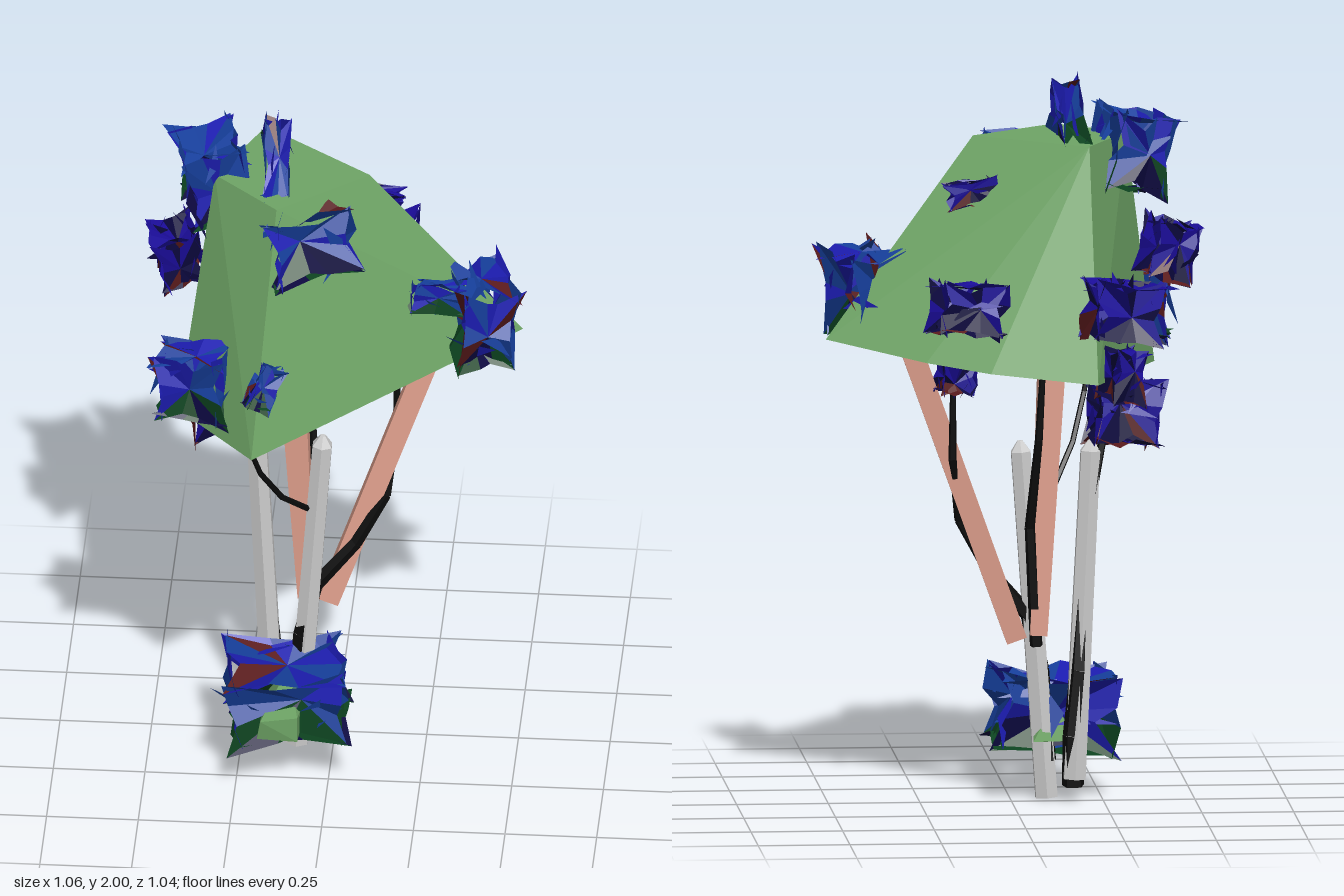
import * as THREE from 'three';
import { ConvexGeometry } from 'three/addons/geometries/ConvexGeometry.js';

const V = (x, y, z) => new THREE.Vector3(x, y, z);
const UP = V(0, 1, 0);

function seeded(seed) {
  let s = seed * 7919 + 17;
  return () => ((s = (s * 16807) % 2147483647) / 2147483647);
}

const paint = (color, side = THREE.FrontSide) =>
  new THREE.MeshStandardMaterial({ color, flatShading: true, side });

const GREEN = paint(0x6fa566);
const PINK = paint(0xdf9f8c);
const GREY = paint(0xcccccc);
const BLACK = paint(0x0c0c0c);
const LEAF = {
  blue: paint(0x163f9c, THREE.DoubleSide),
  indigo: paint(0x1c1cb0, THREE.DoubleSide),
  violet: paint(0x1a0c98, THREE.DoubleSide),
  night: paint(0x0c0840, THREE.DoubleSide),
  forest: paint(0x0d4420, THREE.DoubleSide),
  rust: paint(0x5a1a1c, THREE.DoubleSide),
};

function add(group, name, geometry, material) {
  const mesh = new THREE.Mesh(geometry, material);
  mesh.name = name;
  group.add(mesh);
  return mesh;
}

// Tapered prism between two points
function strut(group, name, a, b, r0, r1, sides, material, turn = 0) {
  const d = b.clone().sub(a);
  const g = new THREE.CylinderGeometry(r1, r0, d.length(), sides);
  g.rotateY(turn);
  const m = add(group, name, g, material);
  m.position.copy(a).add(b).multiplyScalar(0.5);
  m.quaternion.setFromUnitVectors(UP, d.normalize());
}

// Chain of tapered struts
function branch(group, name, points, r0, r1) {
  const sub = new THREE.Group();
  sub.name = name;
  const n = points.length - 1;
  const r = (i) => r0 + ((r1 - r0) * i) / n;
  for (let i = 0; i < n; i++)
    strut(sub, name + 'Segment', V(...points[i]), V(...points[i + 1]), r(i), r(i + 1), 5, BLACK);
  group.add(sub);
}

// Crumpled cluster: a ragged, sunken star on each box side, plus pointed blades
function leafClump(name, center, half, tilt, seed, dark) {
  const rnd = seeded(seed);
  for (let i = 0; i < 5; i++) rnd();
  const j = (a) => (rnd() * 2 - 1) * a;
  const lists = {};
  const put = (key, ...pts) => {
    const list = (lists[key] ??= []);
    for (const p of pts) list.push(p.x * half[0], p.y * half[1], p.z * half[2]);
  };
  const main = () => (dark ? (rnd() < 0.7 ? 'violet' : 'night') : rnd() < 0.65 ? 'blue' : 'indigo');
  for (let f = 0; f < 6; f++) {
    const axis = f >> 1, sign = f & 1 ? 1 : -1;
    const at = (u, v, w) => {
      const c = [0, 0, 0];
      c[axis] = sign * w;
      c[(axis + 1) % 3] = u;
      c[(axis + 2) % 3] = v;
      return V(...c);
    };
    const hub = at(j(0.3), j(0.3), 0.45 + rnd() * 0.4);
    const rim = [];
    for (let k = 0; k < 12; k++) {
      const t = (k / 12) * Math.PI * 2 + Math.PI / 4;
      const reach = k % 3 === 0 ? 1.34 + j(0.12) : 0.78 + j(0.2);
      rim.push(at(Math.cos(t) * reach, Math.sin(t) * reach, 0.82 + j(0.18)));
    }
    for (let k = 0; k < 12; k++) {
      const a = rim[k], b = rim[(k + 1) % 12];
      const low = (a.y + b.y) / 2 < -0.6;
      const shade = dark ? (rnd() < 0.3 ? 'rust' : 'night') : rnd() < 0.65 ? 'forest' : 'night';
      put(low ? shade : !dark && rnd() < 0.05 ? 'rust' : main(), hub, a, b);
    }
  }
  // Pointed blades lying across the outside
  for (let i = 0; i < 10; i++) {
    const d = V(j(1), j(1), j(1)).normalize();
    const side = V(j(1), j(1), j(1)).cross(d).normalize();
    const across = d.clone().cross(side);
    const base = d.clone().multiplyScalar(0.85);
    const tip = base.clone().addScaledVector(d, 0.25).addScaledVector(side, 0.55);
    const tail = base.clone().addScaledVector(side, -0.5);
    put(main(), tail, base.addScaledVector(across, 0.22), tip);
  }
  const clump = new THREE.Group();
  clump.name = name;
  for (const key in lists) {
    const g = new THREE.BufferGeometry();
    g.setAttribute('position', new THREE.Float32BufferAttribute(lists[key], 3));
    g.computeVertexNormals();
    add(clump, key + 'Leaves', g, LEAF[key]);
  }
  clump.position.set(...center);
  clump.rotation.set(...tilt);
  return clump;
}

export function createModel() {
  const tree = new THREE.Group();
  tree.name = 'tree';

  // Faceted crown
  add(tree, 'crown', new ConvexGeometry([
    V(-0.32, 1.82, 0.1), V(-0.2, 1.82, -0.16), V(0.1, 1.82, 0.07), V(-0.14, 1.82, 0.27),
    V(-0.41, 1.165, 0.26), V(-0.19, 1.175, 0.525), V(0.51, 1.28, -0.04),
    V(0.25, 1.24, -0.225), V(0.08, 1.22, -0.31), V(-0.21, 1.19, -0.34),
  ]), GREEN);

  // Low tuft core
  add(tree, 'lowCrown', new ConvexGeometry([
    V(-0.19, 0.16, 0.32), V(-0.08, 0.155, 0.32), V(-0.18, 0.22, 0.33), V(-0.08, 0.23, 0.32),
    V(-0.19, 0.15, 0.08), V(-0.06, 0.16, 0.0), V(-0.12, 0.25, 0.08), V(-0.13, 0.14, 0.12),
  ]), GREEN);

  // Grey hexagonal trunks with pointed tops
  const trunks = [
    [V(-0.1, 0, 0.06), V(-0.03, 0.95, 0.065)],
    [V(-0.17, 0.06, -0.015), V(-0.215, 0.96, 0)],
  ];
  for (const [a, b] of trunks) {
    strut(tree, 'trunk', a, b, 0.034, 0.03, 6, GREY);
    const tip = b.clone().addScaledVector(b.clone().sub(a).normalize(), 0.03);
    strut(tree, 'trunkTip', b, tip, 0.03, 0.008, 6, GREY);
  }

  // Square limbs
  strut(tree, 'limb', V(-0.015, 0.44, 0.03), V(0.28, 1.26, -0.04), 0.04, 0.042, 4, PINK, Math.PI / 4);
  strut(tree, 'limb', V(-0.075, 0.45, 0.03), V(-0.115, 1.24, 0.045), 0.033, 0.052, 4, PINK, Math.PI / 4);

  // Dark branches
  branch(tree, 'longBranch', [[-0.1, 0.1, 0.06], [-0.085, 0.35, 0.07], [-0.05, 0.5, 0.06],
    [0.06, 0.63, 0.045], [0.14, 0.77, 0.02], [0.165, 0.95, -0.05], [0.165, 1.2, -0.08]], 0.028, 0.008);
  branch(tree, 'frontBranch', [[-0.07, 0.76, 0.09], [-0.13, 0.84, 0.17], [-0.185, 0.95, 0.23],
    [-0.22, 1.08, 0.28], [-0.24, 1.2, 0.29]], 0.009, 0.007);
  branch(tree, 'rootBranch', [[-0.168, 0.04, -0.005], [-0.165, 0.18, -0.02], [-0.18, 0.36, -0.025],
    [-0.195, 0.62, -0.01], [-0.22, 0.85, -0.01], [-0.26, 1.05, 0]], 0.032, 0.01);
  branch(tree, 'backBranch', [[-0.07, 0.42, 0.03], [-0.05, 0.75, 0.0], [-0.07, 1.0, -0.06],
    [-0.08, 1.22, -0.09]], 0.018, 0.008);

  // Leaf clumps: name, center, half size, tilt, dark tone
  const clumps = [
    ['topLeaves', [-0.33, 1.78, 0.02], [0.1, 0.12, 0.12], [0, 0.25, 0.2], false],
    ['crestLeaves', [-0.16, 1.82, 0.05], [0.04, 0.13, 0.13], [Math.PI / 4, 0, -0.1], false],
    ['frontLeaves', [-0.06, 1.7, 0.24], [0.14, 0.1, 0.08], [-0.3, 0.4, 0.2], false],
    ['frontSideLeaves', [-0.36, 1.31, 0.35], [0.11, 0.11, 0.07], [0, -0.2, 0.05], false],
    ['leftSideLeaves', [0.4, 1.39, 0.07], [0.09, 0.135, 0.13], [0, 0.35, -0.08], false],
    ['leftFaceLeaves', [0.29, 1.45, 0.08], [0.1, 0.05, 0.04], [0, 0.45, -0.3], false],
    ['lowLeaves', [-0.12, 0.23, 0.175], [0.175, 0.115, 0.15], [0, 0.1, 0.08], false],
    ['backLeaves', [-0.27, 1.4, -0.38], [0.1, 0.09, 0.12], [0.1, 0.15, 0.1], true],
    ['backUnderLeaves', [-0.28, 1.21, -0.29], [0.05, 0.08, 0.08], [0, 0.3, 0.1], true],
    ['backSideLeaves', [0.14, 1.39, -0.26], [0.1, 0.08, 0.08], [0.1, 0.2, 0.1], true],
    ['rightSideLeaves', [-0.43, 1.51, 0], [0.07, 0.09, 0.08], [0, 0.2, 0.25], true],
    ['hangingLeaves', [-0.31, 1.06, 0.03], [0.1, 0.1, 0.08], [0.1, 0.2, 0.1], true],
    ['sliverLeaves', [0.11, 1.68, -0.04], [0.08, 0.04, 0.03], [0, 0, -0.2], true],
    ['frontEdgeLeaves', [-0.16, 1.36, 0.45], [0.04, 0.07, 0.03], [-0.3, 0.3, -0.4], false],
    ['underLeaves', [0.16, 1.18, -0.09], [0.05, 0.05, 0.06], [0, 0.2, 0.1], true],
    ['branchTipLeaves', [-0.24, 1.14, 0.29], [0.02, 0.05, 0.02], [0, 0.2, 0], true],
  ];
  clumps.forEach(([name, c, h, tilt, dark], i) => tree.add(leafClump(name, c, h, tilt, i + 3, dark)));

  return tree;
}
